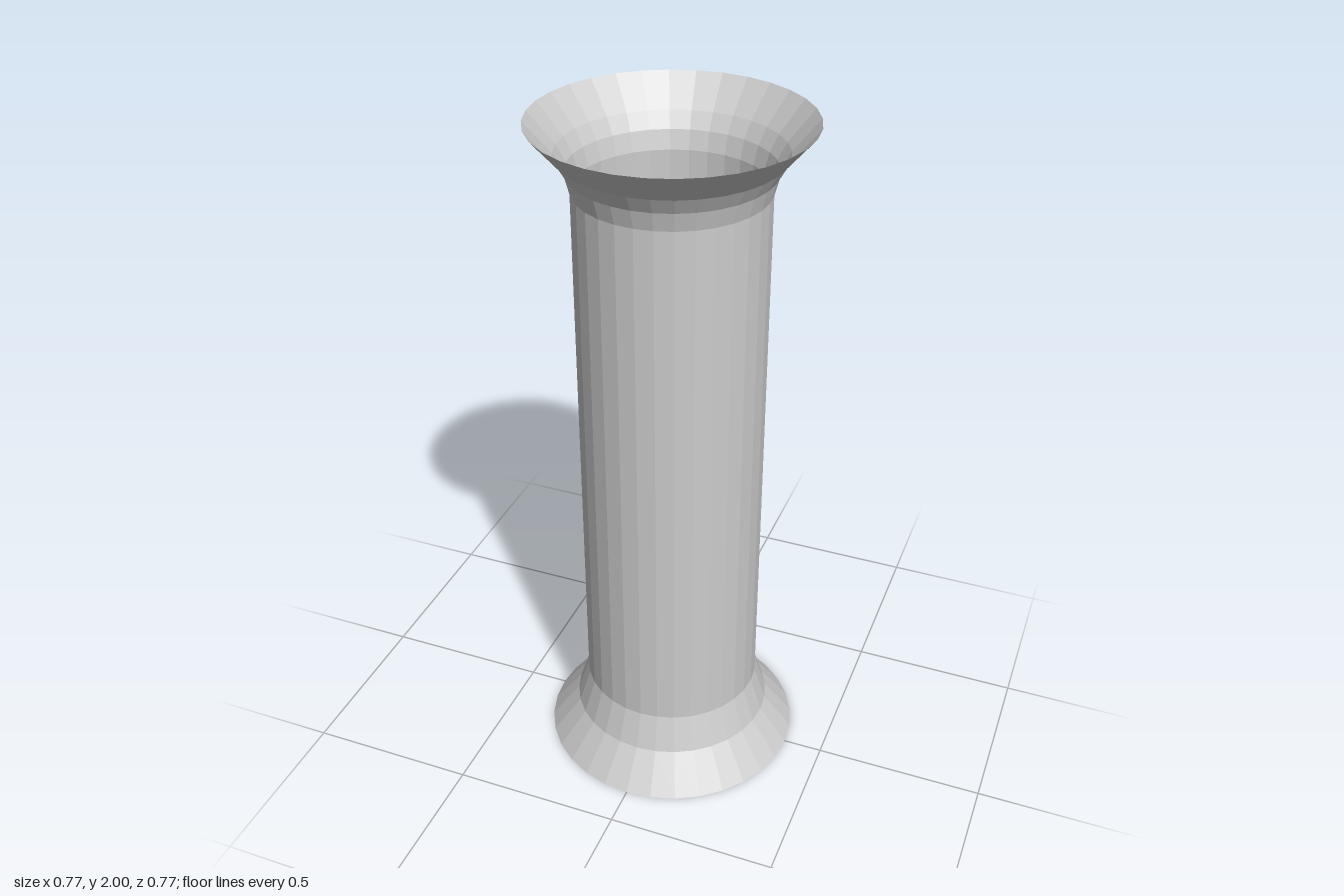
import * as THREE from 'three';

export function createModel() {
  const group = new THREE.Group();
  group.name = 'flaredTube';

  const material = new THREE.MeshStandardMaterial({
    color: 0xcccccc,
    flatShading: true,
    side: THREE.DoubleSide,
  });

  // Thin, open-ended surface of revolution from [radius, height] pairs
  const addSection = (name, profile) => {
    const points = profile.map(([r, y]) => new THREE.Vector2(r, y));
    const mesh = new THREE.Mesh(new THREE.LatheGeometry(points, 32), material);
    mesh.name = name;
    group.add(mesh);
  };

  // Wide foot, straight pipe and flared mouth, sharing their seam rings
  addSection('baseFlare', [[0.383, 0], [0.298, 0.11], [0.263, 0.22]]);
  addSection('tubeBody', [[0.263, 0.22], [0.263, 1.817]]);
  addSection('topFlare', [[0.263, 1.817], [0.277, 1.87], [0.303, 1.915], [0.376, 2]]);

  return group;
}
